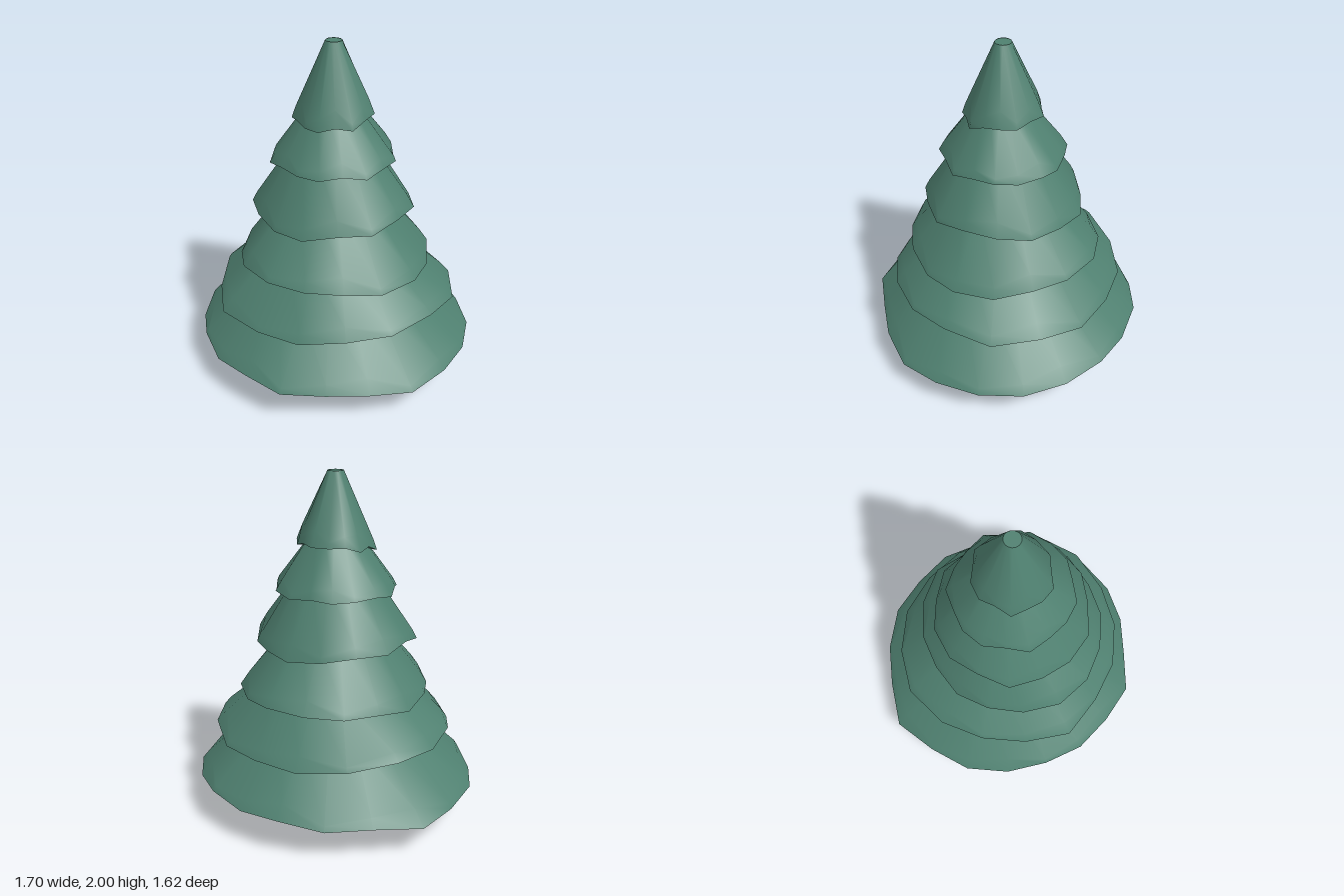
import * as THREE from 'three';

const AXIS_X = 0.02;

// Nearly round hem: n radii with a gentle ripple
const rippled = (n, radius) => Array.from({ length: n }, (_, i) => radius + 0.014 * Math.sin(i * 2.4));

// Each tier: upper ring (topR, topY), hem height, its lift towards front and back,
// its tilt towards the front, and hem radii at equal angles from +x towards +z
const TIERS = [
  { name: 'topTier', topR: 0.047, topY: 2, hemY: 1.575, lift: 0, tilt: -0.025, radii: rippled(15, 0.225) },
  { name: 'secondTier', topR: 0.15, topY: 1.63, hemY: 1.325, lift: 0, tilt: 0, radii: rippled(17, 0.36) },
  { name: 'thirdTier', topR: 0.24, topY: 1.39, hemY: 1.045, lift: -0.045, tilt: 0, radii: rippled(15, 0.47) },
  { name: 'fourthTier', topR: 0.29, topY: 1.08, hemY: 0.695, lift: 0.045, tilt: 0,
    radii: [0.6, 0.575, 0.57, 0.57, 0.585, 0.59, 0.56, 0.55, 0.55, 0.54, 0.56, 0.58, 0.6, 0.575, 0.575, 0.575] },
  { name: 'fifthTier', topR: 0.4, topY: 0.79, hemY: 0.51, lift: -0.055, tilt: 0,
    radii: [0.72, 0.695, 0.685, 0.685, 0.68, 0.735, 0.695, 0.7, 0.72, 0.745, 0.725, 0.72, 0.7, 0.715, 0.725, 0.745] },
  { name: 'bottomTier', topR: 0.48, topY: 0.53, hemY: 0.172, lift: 0.04, tilt: 0,
    radii: [0.835, 0.83, 0.795, 0.775, 0.825, 0.8, 0.81, 0.81, 0.83, 0.86,
      0.86, 0.91, 0.845, 0.84, 0.84, 0.825, 0.835, 0.835, 0.845, 0.84] },
];

// Ring of points from rules for radius and height at step i, angle a
function ring(n, radiusAt, heightAt) {
  return Array.from({ length: n }, (_, i) => {
    const a = (i / n) * Math.PI * 2;
    const r = radiusAt(i);
    return [AXIS_X + r * Math.cos(a), heightAt(i, a), r * Math.sin(a)];
  });
}

function geometryFrom(positions, index) {
  const geometry = new THREE.BufferGeometry();
  geometry.setAttribute('position', new THREE.Float32BufferAttribute(positions.flat(), 3));
  geometry.setIndex(index);
  geometry.computeVertexNormals();
  return geometry;
}

// Smooth skirt through upper ring, uneven shoulder and hem
function skirtGeometry({ topR, topY, radii }, hem) {
  const n = radii.length;
  const reach = (i) => 0.88 + 0.08 * Math.sin(i * 2.1);
  const upper = ring(n, () => topR, () => topY);
  const shoulder = ring(n,
    (i) => topR + (radii[i] - topR) * reach(i),
    (i) => hem[i][1] + (topY - hem[i][1]) * (1 - reach(i)) + 0.012);
  const index = [];
  for (let row = 0; row < 2; row++) {
    for (let i = 0; i < n; i++) {
      const a = row * n + i, b = row * n + (i + 1) % n;
      index.push(a, b, a + n, b, b + n, a + n);
    }
  }
  return geometryFrom([...upper, ...shoulder, ...hem], index);
}

// Underside closing the hem
function undersideGeometry(hem, centerY) {
  const index = hem.flatMap((_, i) => [0, i + 1, ((i + 1) % hem.length) + 1]);
  return geometryFrom([[AXIS_X, centerY, 0], ...hem], index);
}

export function createModel() {
  const tree = new THREE.Group();
  tree.name = 'pineTree';
  const green = new THREE.MeshStandardMaterial({ color: 0x4f8070, side: THREE.DoubleSide });
  const brown = new THREE.MeshStandardMaterial({ color: 0x9a7f70 });
  const add = (parent, name, geometry, material) => {
    const mesh = new THREE.Mesh(geometry, material);
    mesh.name = name;
    parent.add(mesh);
    return mesh;
  };

  // Branch tiers
  for (const tier of TIERS) {
    const { name, radii, hemY, lift, tilt } = tier;
    const hem = ring(radii.length, (i) => radii[i],
      (i, a) => hemY + lift * Math.sin(a) ** 2 + tilt * Math.sin(a) + 0.014 * Math.cos(i * 2.7));
    const group = new THREE.Group();
    group.name = name;
    add(group, 'skirt', skirtGeometry(tier, hem), green);
    add(group, 'underside', undersideGeometry(hem, hemY + lift / 2), green);
    tree.add(group);
  }

  // Blunt tip
  const tip = add(tree, 'tip', new THREE.CircleGeometry(0.047, 15), green);
  tip.rotation.x = -Math.PI / 2;
  tip.position.set(AXIS_X, 1.998, 0);

  // Trunk
  const trunk = add(tree, 'trunk', new THREE.CylinderGeometry(0.14, 0.14, 0.3, 24), brown);
  trunk.position.set(0.025, 0.15, 0);
  return tree;
}
